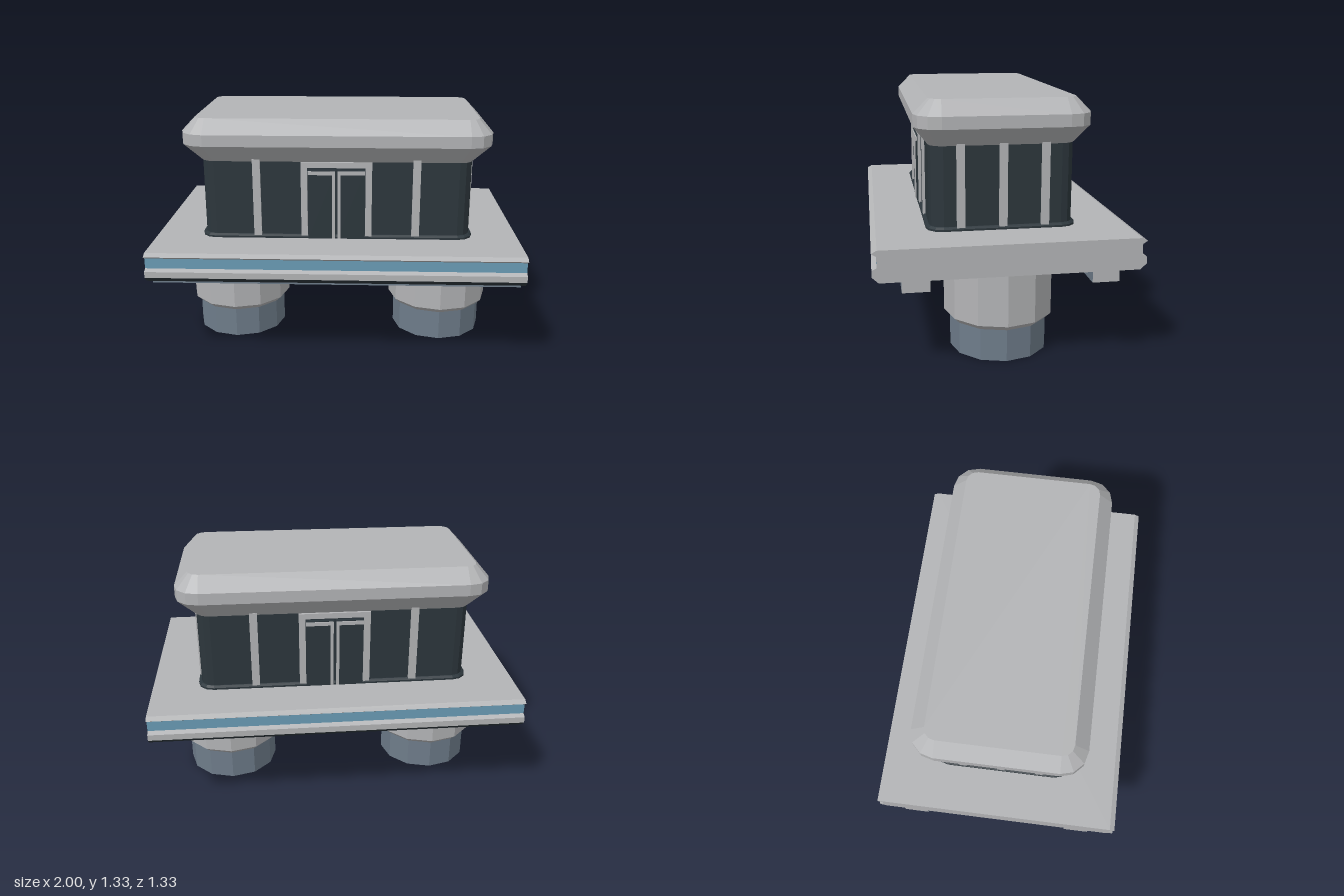
import * as THREE from 'three';

const mat = (name, color, flatShading = true) => {
  const m = new THREE.MeshStandardMaterial({ color });
  m.name = name;
  m.flatShading = flatShading;
  return m;
};

export function createModel() {
  const grey = mat('lightGrey', 0xb3b4b6);
  const dark = mat('darkGlass', 0x2c363c);
  const slate = mat('slate', 0x6e7c8a);
  const blue = mat('blueBand', 0x6a9cb5);
  const model = new THREE.Group();

  const add = (name, geometry, material, x = 0, y = 0, z = 0, parent = model) => {
    const mesh = new THREE.Mesh(geometry, material);
    mesh.name = name;
    mesh.position.set(x, y, z);
    parent.add(mesh);
    return mesh;
  };
  const box = (name, w, h, d, material, x, y, z, parent) =>
    add(name, new THREE.BoxGeometry(w, h, d), material, x, y, z, parent);

  // Stacked rounded rectangles [half x, half z, corner radius, y], capped at both ends
  const loft = (sections) => {
    const rings = sections.map(([hx, hz, r, y]) => {
      const ring = [];
      for (let c = 0; c < 4; c++) {
        const sx = c === 0 || c === 3 ? 1 : -1, sz = c < 2 ? 1 : -1;
        for (let i = 0; i <= 3; i++) {
          const a = (c + i / 3) * Math.PI / 2;
          ring.push([sx * (hx - r) + r * Math.cos(a), y, sz * (hz - r) + r * Math.sin(a)]);
        }
      }
      return ring;
    });
    const pos = [], n = rings[0].length;
    const tri = (a, b, c) => pos.push(...a, ...b, ...c);
    for (let k = 0; k < rings.length - 1; k++) {
      for (let i = 0; i < n; i++) {
        const j = (i + 1) % n, lo = rings[k], hi = rings[k + 1];
        tri(lo[i], hi[i], hi[j]);
        tri(lo[i], hi[j], lo[j]);
      }
    }
    const bottom = rings[0], top = rings[rings.length - 1];
    for (let i = 1; i < n - 1; i++) {
      tri(bottom[0], bottom[i], bottom[i + 1]);
      tri(top[0], top[i + 1], top[i]);
    }
    const g = new THREE.BufferGeometry();
    g.setAttribute('position', new THREE.Float32BufferAttribute(pos, 3));
    g.computeVertexNormals();
    return g;
  };

  // Platform: one side of the profile, mirrored and extruded along x
  const half = [
    [0.64, 0.67], [0.667, 0.655], [0.643, 0.64], [0.643, 0.585], [0.667, 0.573],
    [0.667, 0.54], [0.635, 0.51], [0.53, 0.51], [0.53, 0.455], [0.395, 0.455], [0.395, 0.51],
  ];
  const outline = [...half, ...half.map(([z, y]) => [-z, y]).reverse()];
  const shape = new THREE.Shape(outline.map(([z, y]) => new THREE.Vector2(z, y)));
  const deck = new THREE.ExtrudeGeometry(shape, { depth: 2, bevelEnabled: false });
  deck.translate(0, 0, -1);
  deck.rotateY(Math.PI / 2);
  // Colour its long faces by height; the cut ends stay grey
  const p = deck.attributes.position, nrm = deck.attributes.normal;
  deck.clearGroups();
  for (let i = 0; i < p.count; i += 3) {
    const y = (p.getY(i) + p.getY(i + 1) + p.getY(i + 2)) / 3;
    let m = 0;
    if (Math.abs(nrm.getX(i)) < 0.5) {
      if (y < 0.505) m = 2;
      else if (y < 0.535) m = 1;
      else if (y > 0.59 && y < 0.637) m = 3;
    }
    deck.addGroup(i, 3, m);
  }
  add('platform', deck, [grey, dark, slate, blue]);

  // Two support columns
  for (const s of [-1, 1]) {
    const column = new THREE.Group();
    column.name = s > 0 ? 'leftColumn' : 'rightColumn';
    column.position.x = s * 0.6;
    model.add(column);
    add('columnFoot', new THREE.CylinderGeometry(0.26, 0.26, 0.17, 12), slate, 0, 0.085, 0, column);
    add('columnTaper', new THREE.CylinderGeometry(0.292, 0.26, 0.03, 12, 1, true), grey, 0, 0.185, 0, column);
    add('columnShaft', new THREE.CylinderGeometry(0.292, 0.292, 0.31, 12, 1, true), grey, 0, 0.355, 0, column);
  }

  // Cabin plinth, glazed walls and roof
  add('plinth', loft([[0.75, 0.387, 0.085, 0.67], [0.75, 0.387, 0.085, 0.68], [0.737, 0.374, 0.072, 0.69]]), dark);
  add('cabinWalls', loft([[0.733, 0.37, 0.07, 0.68], [0.733, 0.37, 0.07, 1.11]]), dark);
  add('roof', loft([
    [0.735, 0.37, 0.07, 1.1], [0.835, 0.445, 0.13, 1.195],
    [0.835, 0.445, 0.13, 1.257], [0.762, 0.37, 0.06, 1.333],
  ]), grey);

  // Pillars on the long and short walls
  for (const s of [-1, 1]) {
    for (const x of [-0.433, 0.433]) box('longWallPillar', 0.042, 0.43, 0.03, grey, x, 0.9, s * 0.368);
    for (const z of [-0.215, 0, 0.215]) box('endWallPillar', 0.03, 0.43, 0.042, grey, s * 0.731, 0.9, z);
  }

  // Double doors, front and back
  for (const turn of [0, Math.PI]) {
    const door = new THREE.Group();
    door.name = turn ? 'backDoor' : 'frontDoor';
    door.rotation.y = turn;
    model.add(door);
    box('frameHeader', 0.385, 0.03, 0.03, grey, 0, 1.085, 0.37, door);
    for (const s of [-1, 1]) {
      box('framePost', 0.035, 0.4, 0.03, grey, s * 0.175, 0.885, 0.37, door);
      box('doorLeaf', 0.15, 0.388, 0.03, dark, s * 0.08, 0.864, 0.373, door);
      box('leafRail', 0.147, 0.02, 0.008, grey, s * 0.081, 1.043, 0.391, door);
      box('leafStile', 0.016, 0.38, 0.008, grey, s * 0.0155, 0.863, 0.391, door);
    }
  }
  return model;
}
